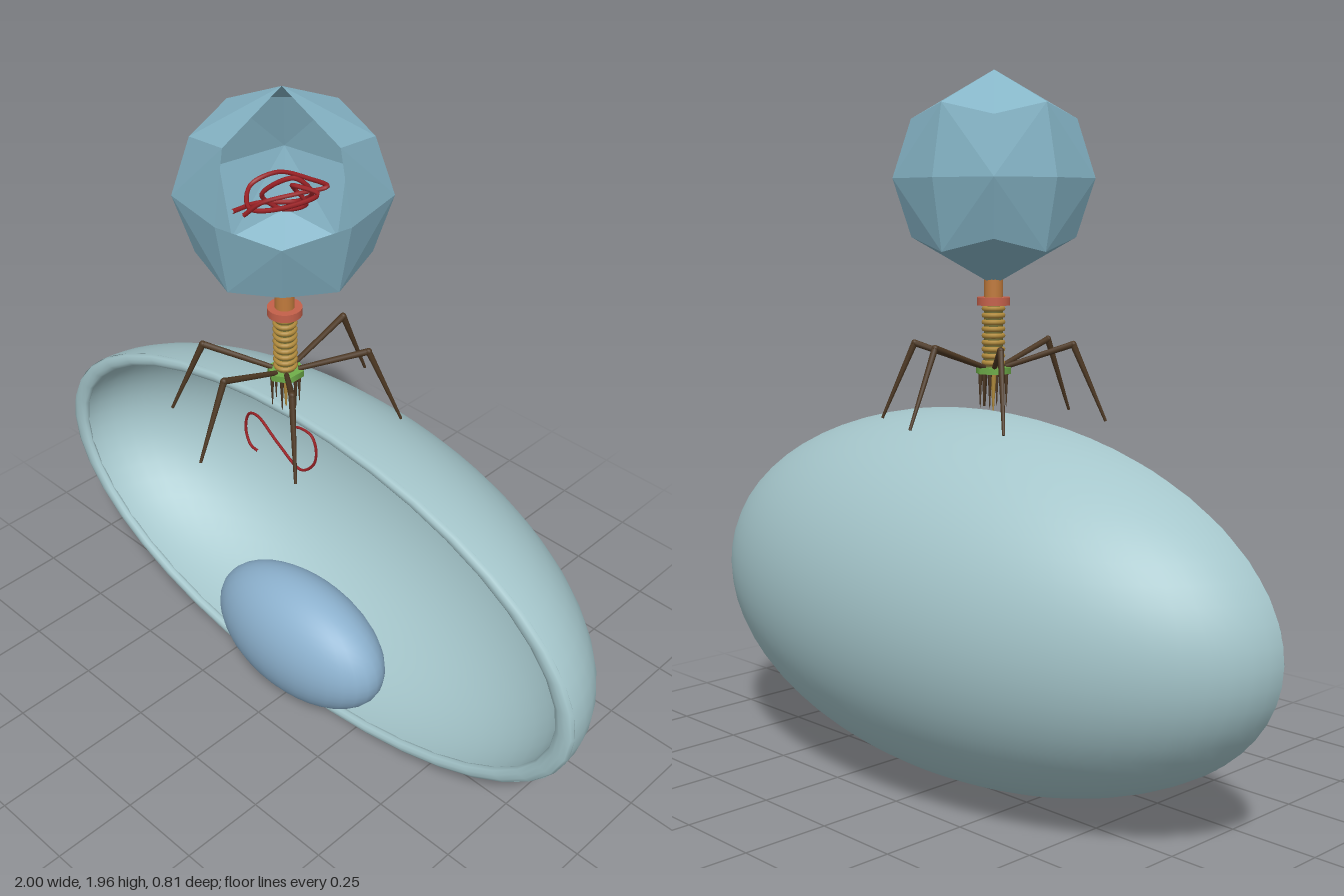
import * as THREE from 'three';

const mat = (color, opts = {}) => new THREE.MeshStandardMaterial({ color, ...opts });
const V = (x, y, z) => new THREE.Vector3(x, y, z);
const DOUBLE = { side: THREE.DoubleSide };

function add(parent, name, geometry, material, x = 0, y = 0, z = 0) {
  const mesh = new THREE.Mesh(geometry, material);
  mesh.name = name;
  mesh.position.set(x, y, z);
  parent.add(mesh);
  return mesh;
}

// Tapered rod running from point a to point b
function rod(parent, name, a, b, ra, rb, material) {
  const dir = b.clone().sub(a);
  const mesh = add(parent, name, new THREE.CylinderGeometry(rb, ra, dir.length(), 8), material);
  mesh.position.copy(a).add(b).multiplyScalar(0.5);
  mesh.quaternion.setFromUnitVectors(V(0, 1, 0), dir.normalize());
  return mesh;
}

function strand(parent, name, points, radius, material, segments) {
  const curve = new THREE.CatmullRomCurve3(points.map(p => V(...p)));
  return add(parent, name, new THREE.TubeGeometry(curve, segments, radius, 6), material);
}

// Faceted capsid: three kites in each octant, with the +x +y +z octant left open
function capsidGeometry() {
  const axis = [0.233, 0.287, 0.227], edge = 0.194, corner = 0.158;
  const positions = [];
  for (const sx of [-1, 1]) for (const sy of [-1, 1]) for (const sz of [-1, 1]) {
    if (sx + sy + sz === 3) continue;
    const sign = [sx, sy, sz];
    const tip = sign.map(s => s * corner);
    for (let i = 0; i < 3; i++) {
      const j = (i + 1) % 3, k = (i + 2) % 3;
      const pole = [0, 0, 0], e1 = [0, 0, 0], e2 = [0, 0, 0];
      pole[i] = sign[i] * axis[i];
      e1[i] = sign[i] * edge; e1[j] = sign[j] * edge;
      e2[i] = sign[i] * edge; e2[k] = sign[k] * edge;
      const tris = i === 1
        ? [[pole, e1, tip], [pole, tip, e2]]
        : [[pole, e1, e2], [e1, tip, e2]];
      for (const [a, b, c] of tris) positions.push(...(sx * sy * sz > 0 ? [a, b, c] : [a, c, b]).flat());
    }
  }
  const geometry = new THREE.BufferGeometry();
  geometry.setAttribute('position', new THREE.Float32BufferAttribute(positions, 3));
  geometry.computeVertexNormals();
  return geometry;
}

export function createModel() {
  const model = new THREE.Group();
  model.name = 'virusOnCell';
  const red = mat(0x9c2226), brown = mat(0x4d3823), ochre = mat(0xb08a3c);
  const olive = mat(0x6f6a34), green = mat(0x6fae4a), orange = mat(0xc07a3c);
  const collarRed = mat(0xc4604a);

  // Cell: half ellipsoid shell, open to the front, with a rounded rim
  const cell = new THREE.Group();
  cell.name = 'cell';
  cell.position.set(0, 0.53, 0.093);
  cell.scale.set(1, 0.52, 0.5);
  model.add(cell);
  const cellMat = mat(0xa5c6cb, DOUBLE);
  const half = r => new THREE.SphereGeometry(r, 32, 32, Math.PI, Math.PI);
  add(cell, 'outerWall', half(1), cellMat);
  add(cell, 'innerWall', half(0.945), cellMat);
  add(cell, 'rim', new THREE.TorusGeometry(0.97, 0.03, 10, 40), cellMat);

  // Nucleus resting at the bottom of the cell
  add(model, 'nucleus', new THREE.SphereGeometry(1, 32, 24), mat(0x8db2cf), 0, 0.213, 0.07)
    .scale.set(0.313, 0.198, 0.155);

  // Strand released into the cell
  strand(model, 'releasedStrand', [
    [-0.145, 0.83, 0.09], [-0.18, 0.832, 0.085], [-0.203, 0.87, 0.08], [-0.19, 0.93, 0.08],
    [-0.14, 0.952, 0.09], [-0.056, 0.905, 0.095], [0.03, 0.862, 0.095], [0.075, 0.9, 0.09],
    [0.085, 0.955, 0.09], [0.068, 0.993, 0.09], [0.03, 0.998, 0.09], [-0.008, 0.985, 0.09],
  ], 0.004, red, 90);

  // Virus standing above the cell
  const virus = new THREE.Group();
  virus.name = 'virus';
  virus.position.set(-0.024, 0, 0.094);
  model.add(virus);

  // Head with its coiled strand
  add(virus, 'head', capsidGeometry(), mat(0x86b5c7, { flatShading: true, side: THREE.DoubleSide }), 0, 1.682, 0);
  strand(virus, 'coiledStrand', [
    [0.02, 0.01, 0.15], [0.06, 0.05, 0.13], [0.13, 0.08, 0.07], [0.18, 0.1, 0.03], [0.1, 0.085, 0.01],
    [0, 0.07, 0.02], [-0.04, 0.04, 0.07], [0.02, 0.02, 0.13], [0.1, 0.04, 0.1], [0.17, 0.085, 0.05],
    [0.12, 0.1, 0.08], [0.09, 0.07, 0.05], [0.1, 0.02, 0.02], [0.05, 0, 0.05], [0.03, 0.05, 0.1],
    [0.1, 0.105, 0.06], [0.12, 0.06, 0.02], [0.06, 0.01, 0.01], [0, 0.01, 0.08], [0, 0.02, 0.17],
  ], 0.006, red, 200).position.y = 1.682;

  // Neck, collar and ringed tail
  add(virus, 'neck', new THREE.CylinderGeometry(0.026, 0.026, 0.06, 20), orange, 0, 1.385, 0);
  add(virus, 'collar', new THREE.CylinderGeometry(0.046, 0.046, 0.022, 20), collarRed, 0, 1.351, 0);
  add(virus, 'tailCore', new THREE.CylinderGeometry(0.026, 0.026, 0.18, 20), olive, 0, 1.255, 0);
  for (let i = 0; i < 9; i++) {
    const ring = add(virus, 'tailRing', new THREE.TorusGeometry(0.026, 0.007, 8, 20), ochre, 0, 1.183 + i * 0.0185, 0);
    ring.rotation.x = Math.PI / 2;
  }

  // Base plate with short spikes and a central needle
  add(virus, 'basePlate', new THREE.CylinderGeometry(0.05, 0.05, 0.018, 6), green, 0, 1.162, 0);
  rod(virus, 'needle', V(0, 1.16, 0), V(0, 1.05, 0), 0.009, 0.002, ochre);
  for (let i = 0; i < 6; i++) {
    const a = i * Math.PI / 3, x = 0.037 * Math.cos(a), z = 0.037 * Math.sin(a);
    rod(virus, 'spike', V(x, 1.16, z), V(x, 1.06, z), 0.006, 0.001, brown);
  }

  // Six bent legs
  for (const degrees of [40, 90, 140, 220, 270, 320]) {
    const a = THREE.MathUtils.degToRad(degrees);
    const at = (r, y) => V(r * Math.cos(a), y, r * Math.sin(a));
    const leg = new THREE.Group();
    leg.name = 'leg';
    virus.add(leg);
    rod(leg, 'upperLeg', at(0.035, 1.172), at(0.218, 1.235), 0.007, 0.009, brown);
    add(leg, 'knee', new THREE.SphereGeometry(0.0095, 10, 8), brown).position.copy(at(0.218, 1.235));
    rod(leg, 'lowerLeg', at(0.218, 1.235), at(0.309, 1.025), 0.009, 0.004, brown);
  }
  return model;
}
